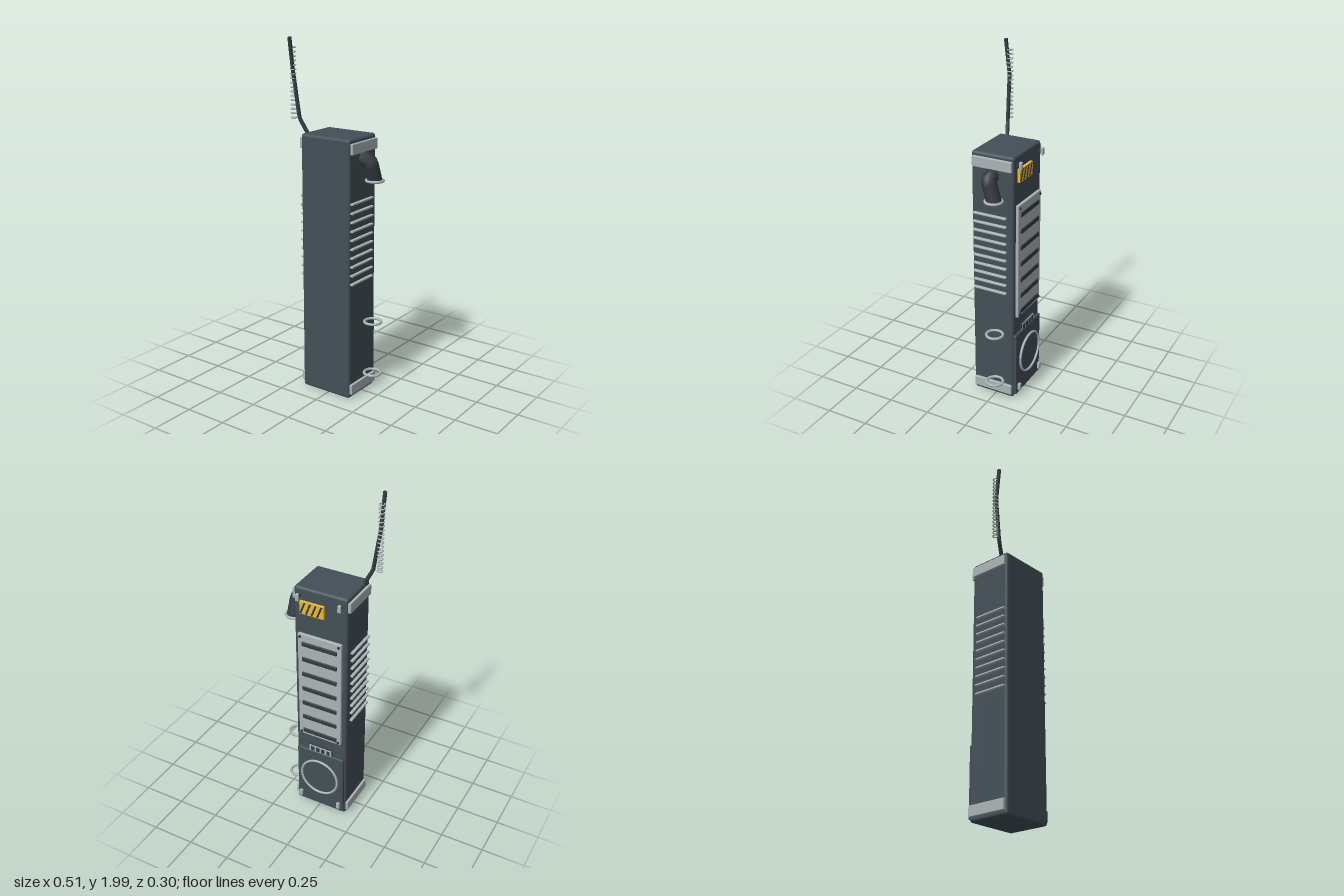
import * as THREE from 'three';
import { RoundedBoxGeometry } from 'three/addons/geometries/RoundedBoxGeometry.js';

const paint = (name, color) => {
  const m = new THREE.MeshStandardMaterial({ color });
  m.name = name;
  return m;
};

export function createModel() {
  const model = new THREE.Group();
  model.name = 'radioUnit';

  const slate = paint('slate casing', 0x434f57);
  const dark = paint('dark rubber', 0x343b41);
  const steel = paint('light steel', 0xaab4b6);
  const yellow = paint('warning yellow', 0xebbd38);

  const add = (name, geometry, material, x, y, z) => {
    const mesh = new THREE.Mesh(geometry, material);
    mesh.name = name;
    mesh.position.set(x, y, z);
    model.add(mesh);
    return mesh;
  };
  const box = (name, mat, w, h, d, x, y, z) =>
    add(name, new THREE.BoxGeometry(w, h, d), mat, x, y, z);
  const rounded = (name, mat, w, h, d, r, x, y, z) =>
    add(name, new RoundedBoxGeometry(w, h, d, 3, r), mat, x, y, z);
  // Ring lying flat, with its axis upright
  const flatRing = (name, mat, r, t, x, y, z) => {
    const ring = add(name, new THREE.TorusGeometry(r, t, 8, 28), mat, x, y, z);
    ring.rotation.x = Math.PI / 2;
  };
  // Tube along straight runs
  const tube = (name, mat, points, r, along, sides) => {
    const v = points.map(p => new THREE.Vector3(...p));
    const path = new THREE.CurvePath();
    for (let i = 1; i < v.length; i++) path.add(new THREE.LineCurve3(v[i - 1], v[i]));
    add(name, new THREE.TubeGeometry(path, along, r, sides), mat, 0, 0, 0);
  };

  const cx = -0.0125; // middle of the casing

  // Casing
  rounded('casing', slate, 0.32, 1.485, 0.254, 0.016, cx, 0.7475, 0.0135);

  // Side bands and louvres, mirrored
  for (const side of [-1, 1]) {
    const x = cx + side * 0.165;
    for (const y of [0.06, 1.437])
      rounded('sideBand', steel, 0.018, 0.06, 0.236, 0.004, x, y, 0.012);
    for (let i = 0; i < 10; i++)
      rounded('sideLouvre', steel, 0.022, 0.012, 0.203, 0.004, x, 0.687 + i * 0.0503, 0.028);
  }

  // Back grille with slots and corner bolts
  rounded('grillePlate', steel, 0.266, 0.68, 0.022, 0.004, cx, 0.872, -0.119);
  for (let i = 0; i < 7; i++)
    rounded('grilleSlot', dark, 0.215, 0.028, 0.012, 0.005, cx, 0.562 + i * 0.0983, -0.13);
  for (const sx of [-1, 1]) for (const y of [0.548, 1.195]) {
    const bolt = add('grilleBolt', new THREE.CylinderGeometry(0.008, 0.008, 0.01, 10), dark,
      cx + sx * 0.118, y, -0.131);
    bolt.rotation.x = Math.PI / 2;
  }

  // Lower door with round speaker
  rounded('lowerDoor', slate, 0.3, 0.395, 0.024, 0.006, cx, 0.222, -0.116);
  const disc = add('speakerDisc', new THREE.CylinderGeometry(0.115, 0.115, 0.016, 40), slate, cx, 0.245, -0.126);
  disc.rotation.x = Math.PI / 2;
  add('speakerRing', new THREE.TorusGeometry(0.117, 0.007, 8, 48), steel, cx, 0.245, -0.139);

  // Small key strip above the door
  box('keyBacking', dark, 0.15, 0.05, 0.012, cx, 0.437, -0.116);
  box('keyStrip', steel, 0.142, 0.042, 0.004, cx, 0.437, -0.123);
  for (let i = 0; i < 4; i++)
    box('key', dark, 0.021, 0.028, 0.005, cx - 0.051 + i * 0.034, 0.437, -0.125);

  // Warning plate with slanted stripes
  box('warningPlate', yellow, 0.145, 0.075, 0.016, 0.0325, 1.378, -0.122);
  for (let i = 0; i < 4; i++) {
    const x = -0.007 + i * 0.0335;
    const s = new THREE.Shape();
    s.moveTo(x, 1.344);
    s.lineTo(x + 0.011, 1.344);
    s.lineTo(x - 0.015, 1.412);
    s.lineTo(x - 0.026, 1.412);
    const stripe = new THREE.ExtrudeGeometry(s, { depth: 0.002, bevelEnabled: false });
    add('warningStripe', stripe, dark, 0, 0, -0.1315);
  }

  // Corner clips on the back
  for (const sx of [-1, 1]) for (const y of [0.072, 1.44]) {
    const x = cx + sx * 0.125;
    box('clipPost', dark, 0.01, 0.02, 0.03, x, y, -0.123);
    rounded('cornerClip', steel, 0.02, 0.042, 0.017, 0.004, x, y, -0.138);
  }

  // Bent pipe with a collar
  tube('pipe', dark, [
    [0.13, 1.37, 0.014], [0.178, 1.37, 0.013], [0.195, 1.35, 0.007],
    [0.2, 1.25, -0.025]], 0.041, 10, 10);
  const cap = add('pipeEnd', new THREE.CylinderGeometry(0.043, 0.043, 0.008, 20), dark, 0.2, 1.25, -0.023);
  cap.rotation.x = 0.1;
  flatRing('pipeCollar', steel, 0.046, 0.008, 0.2, 1.25, -0.023);

  // Carrying rings
  for (const y of [0.122, 0.435]) flatRing('sideRing', steel, 0.047, 0.008, 0.197, y, -0.022);

  // Aerial with spring coils
  tube('aerial', dark, [
    [-0.155, 1.47, 0.087], [-0.203, 1.565, 0.108],
    [-0.237, 1.81, 0.116], [-0.24, 1.998, 0.14]], 0.011, 24, 8);
  const tip = add('aerialTip', new THREE.CircleGeometry(0.011, 8), dark, -0.24, 1.999, 0.14);
  tip.rotation.x = -Math.PI / 2;
  for (let i = 0; i < 17; i++)
    flatRing('aerialCoil', steel, 0.014, 0.0035, -0.239, 1.566 + i * 0.0235, 0.113);

  return model;
}
